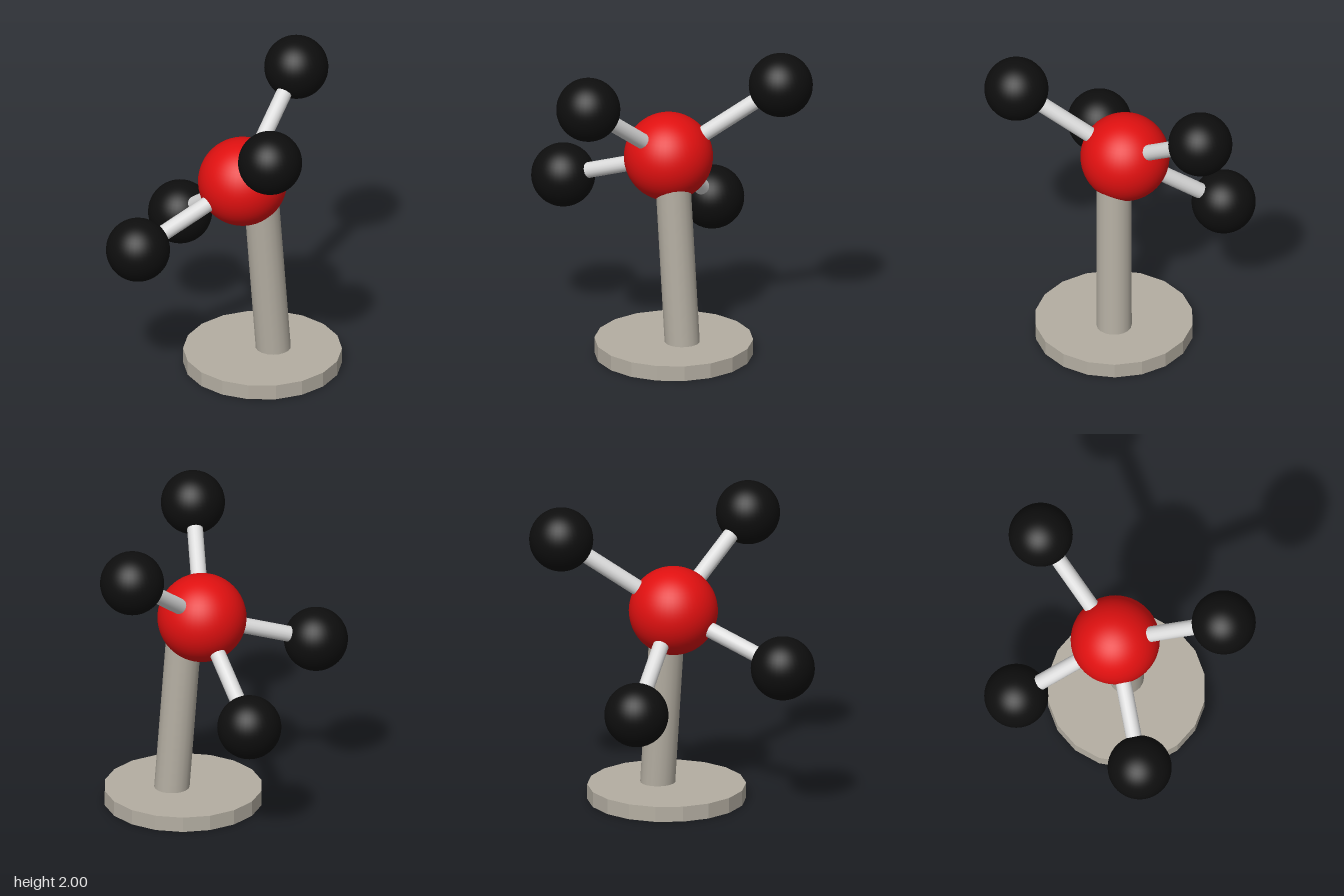
import * as THREE from 'three';

function material(name, color) {
  const m = new THREE.MeshStandardMaterial({ color });
  m.name = name;
  return m;
}

export function createModel() {
  const group = new THREE.Group();
  const red = material('red', 0xe01010);
  const black = material('black', 0x0e0e0e);
  const lightGrey = material('lightGrey', 0xdcdcdc);
  const stone = material('stone', 0xb4aea2);
  const baseStone = material('baseStone', 0xb4aea2);
  baseStone.flatShading = true;

  function add(name, geometry, mat, position) {
    const mesh = new THREE.Mesh(geometry, mat);
    mesh.name = name;
    mesh.position.copy(position);
    group.add(mesh);
    return mesh;
  }

  // Straight round bar between two points
  function bar(name, from, to, radius, sides, mat) {
    const direction = to.clone().sub(from);
    const geometry = new THREE.CylinderGeometry(radius, radius, direction.length(), sides);
    const mesh = add(name, geometry, mat, from.clone().lerp(to, 0.5));
    mesh.quaternion.setFromUnitVectors(new THREE.Vector3(0, 1, 0), direction.normalize());
  }

  // Stand: faceted disc and leaning post
  const disc = new THREE.CylinderGeometry(0.508, 0.508, 0.1, 18).rotateY(Math.PI / 18);
  add('base', disc, baseStone, new THREE.Vector3(0.222, 0.05, 0.04));
  bar('post', new THREE.Vector3(0.299, 0.04, 0.04), new THREE.Vector3(0.213, 1.2, 0.04), 0.113, 18, stone);

  // Central ball
  const centre = new THREE.Vector3(0.112, 1.297, -0.031);
  add('centralBall', new THREE.SphereGeometry(0.285, 48, 32), red, centre);

  // Four outer balls, each joined to the centre by a rod
  const outer = [
    ['front', 0.05, 1.795, 0.662],
    ['backLeft', 0.648, 1.787, -0.508],
    ['right', -0.654, 1.02, 0.126],
    ['back', -0.085, 0.792, -0.663],
  ];
  for (const [name, x, y, z] of outer) {
    const position = new THREE.Vector3(x, y, z);
    add(name + 'Ball', new THREE.SphereGeometry(0.205, 40, 28), black, position);
    bar(name + 'Rod', centre, position, 0.051, 18, lightGrey);
  }
  return group;
}
